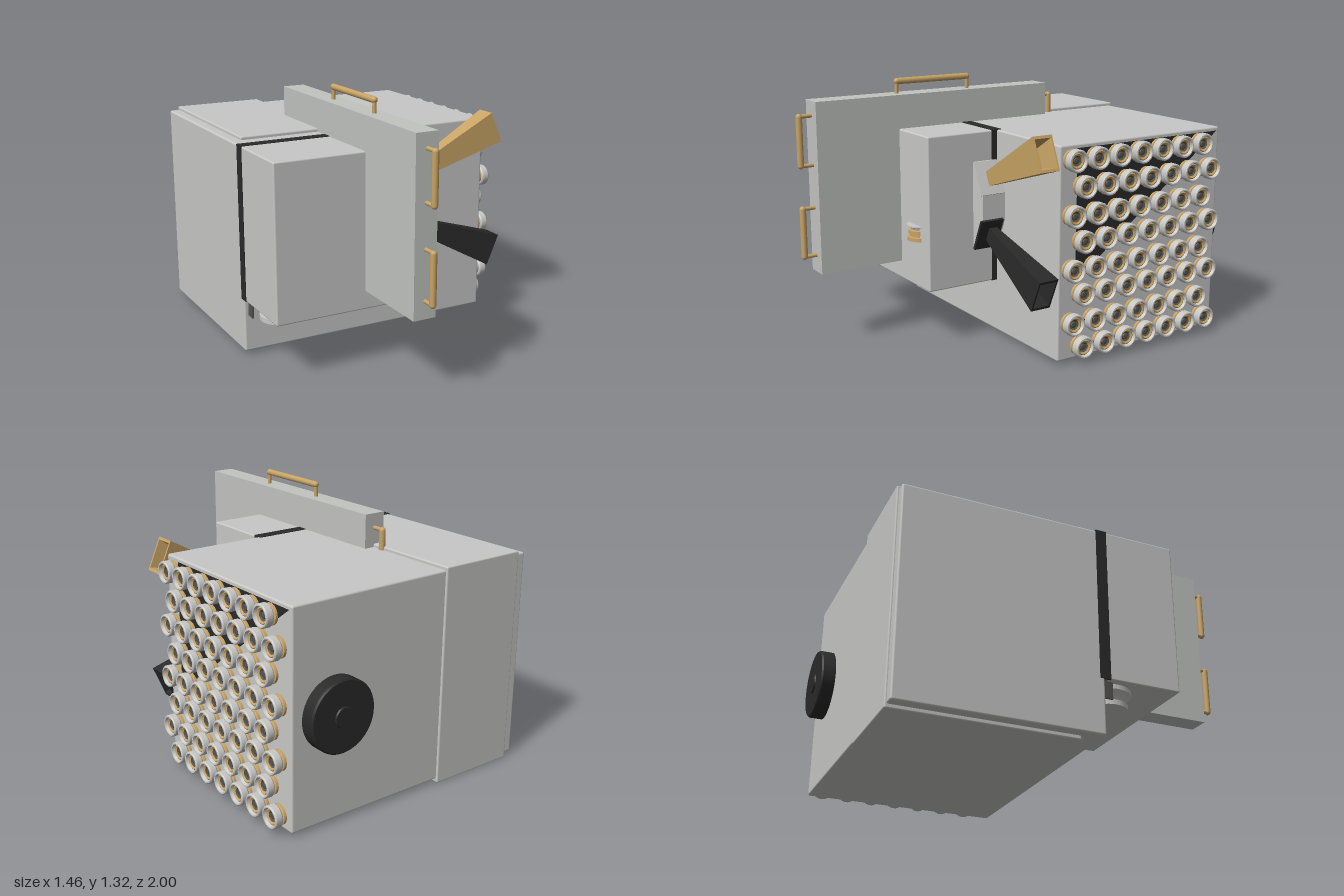
import * as THREE from 'three';
import { toCreasedNormals } from 'three/addons/utils/BufferGeometryUtils.js';
import { RoundedBoxGeometry } from 'three/addons/geometries/RoundedBoxGeometry.js';

const mat = (name, color) => {
  const m = new THREE.MeshStandardMaterial({ color });
  m.name = name;
  return m;
};

export function createModel() {
  const model = new THREE.Group();
  const grey = mat('casing grey', 0xc8c8c7);
  const plateGrey = mat('plate grey', 0xc2c4c0);
  const gold = mat('brass', 0xc8a465);
  const black = mat('black', 0x2a2a2a);
  const dark = mat('dark glass', 0x55534f);

  const add = (parent, name, geo, m, x = 0, y = 0, z = 0) => {
    const mesh = new THREE.Mesh(geo, m);
    mesh.name = name;
    mesh.position.set(x, y, z);
    parent.add(mesh);
    return mesh;
  };
  // Box from its two corners, with an optional rounded edge
  const box = (name, m, [x0, y0, z0], [x1, y1, z1], r = 0) => {
    const s = [x1 - x0, y1 - y0, z1 - z0];
    const geo = r ? new RoundedBoxGeometry(...s, 2, r) : new THREE.BoxGeometry(...s);
    return add(model, name, geo, m, (x0 + x1) / 2, (y0 + y1) / 2, (z0 + z1) / 2);
  };
  const lathe = (pts, sides, start = 0) => toCreasedNormals(
    new THREE.LatheGeometry(pts.map(p => new THREE.Vector2(...p)), sides, start), 0.6);

  // Casing
  box('mainBody', grey, [-0.73, 0.025, -0.92], [0.665, 1.08, 0.08], 0.01);
  box('wrapPanel', grey, [-0.68, 0.005, -0.93], [-0.205, 1.097, -0.02], 0.008);
  box('frontHousing', grey, [-0.73, 0.3, 0.08], [0.135, 1.08, 0.475], 0.008);
  box('blackSeam', black, [-0.733, 0.3, 0.055], [0.137, 1.083, 0.11]);
  box('uprightPlate', plateGrey, [-0.265, 0.395, -0.42], [-0.15, 1.25, 0.92]);

  // Handles: a capsule grip on two thin posts, standing along local +z
  const handle = (name, length, height, x, y, z) => {
    const g = new THREE.Group();
    g.name = name;
    g.position.set(x, y, z);
    add(g, 'grip', new THREE.CapsuleGeometry(0.016, length - 0.032, 4, 12), gold, 0, 0, height - 0.016);
    for (const s of [-1, 1]) {
      const post = add(g, 'post', new THREE.CylinderGeometry(0.01, 0.01, height, 10), gold,
        0, s * (length / 2 - 0.014), height / 2 - 0.01);
      post.rotation.x = Math.PI / 2;
    }
    model.add(g);
    return g;
  };
  handle('topHandle', 0.44, 0.078, -0.207, 1.25, 0.25).rotation.x = -Math.PI / 2;
  handle('upperFrontHandle', 0.27, 0.08, -0.207, 1.057, 0.92);
  handle('lowerFrontHandle', 0.27, 0.08, -0.207, 0.603, 0.92);
  handle('backHandle', 0.27, 0.075, -0.207, 1.057, -0.42).rotation.y = Math.PI;

  // Front knob: stepped brass base under a flared cap
  add(model, 'knobBase', lathe([[0, 0], [0.07, 0], [0.07, 0.018], [0.056, 0.02], [0.056, 0.032],
    [0.064, 0.034], [0.064, 0.052], [0.05, 0.055], [0, 0.055]], 28), gold, -0.003, 0.54, 0.442);
  add(model, 'knobCap', lathe([[0, 0], [0.05, 0], [0.055, 0.012], [0.074, 0.02], [0.074, 0.026], [0, 0.026]], 28),
    grey, -0.003, 0.593, 0.442);

  // Lower spool with side brackets
  add(model, 'spool', lathe([[0, 0], [0.1, 0], [0.1, 0.025], [0.082, 0.027], [0.09, 0.048],
    [0.118, 0.07], [0.118, 0.092], [0, 0.092]], 32), grey, -0.577, 0.208, 0.165);
  for (const s of [-1, 1]) {
    const cx = -0.577 + s * 0.127;
    box('spoolBracket', dark, [cx - 0.004, 0.215, 0.08], [cx + 0.004, 0.302, 0.13]);
  }

  // Horn mount
  const outline = new THREE.Shape([[0.13, 0.49], [0.16, 0.49], [0.225, 0.64], [0.225, 0.78],
    [0.16, 0.932], [0.13, 0.932]].map(p => new THREE.Vector2(...p)));
  add(model, 'hornMount', new THREE.ExtrudeGeometry(outline, { depth: 0.13, bevelEnabled: false }), grey, 0, 0, 0.09);

  // Square horns, hollow at the mouth, mirrored above and below the mount
  const q = Math.SQRT2;
  const hornGeo = lathe([[0, 0], [0.036 * q, 0], [0.086 * q, 0.5], [0.072 * q, 0.5],
    [0.05 * q, 0.4], [0, 0.4]], 4, Math.PI / 4);
  hornGeo.scale(1, 1, 0.63);
  hornGeo.computeVertexNormals();
  for (const [s, name, hornMat, padMat] of [[1, 'upper', gold, grey], [-1, 'lower', black, black]]) {
    const yMid = 0.714;
    const horn = add(model, name + 'Horn', hornGeo, hornMat, 0.205, yMid + s * 0.141, 0.158);
    horn.rotation.z = s * 0.405 - Math.PI / 2;
    const pad = add(model, name + 'HornPad', new THREE.BoxGeometry(0.014, 0.17, 0.13), padMat,
      0.198, yMid + s * 0.143, 0.17);
    pad.rotation.z = s * 0.41;
  }

  // Black corner panel behind the lenses
  const tri = new THREE.Shape([[0.9, 1.06], [0.02, 1.06], [0.02, 0.41]].map(p => new THREE.Vector2(...p)));
  const panel = add(model, 'blackPanel', new THREE.ExtrudeGeometry(tri, { depth: 0.003, bevelEnabled: false }),
    black, 0.664, 0, 0);
  panel.rotation.y = Math.PI / 2;

  // Lens wall: eight staggered rows of seven cups
  const baseGeo = lathe([[0, 0], [0.05, 0], [0.05, 0.012], [0.042, 0.016], [0.042, 0.025]], 18);
  const cupGeo = lathe([[0.03, 0], [0.05, 0], [0.055, 0.006], [0.055, 0.036], [0.051, 0.041],
    [0.045, 0.041], [0.039, 0.026]], 18);
  const ringGeo = lathe([[0.041, 0.026], [0.034, 0.03], [0.025, 0.024]], 18);
  const eyeGeo = lathe([[0.027, 0.024], [0.016, 0.016], [0.014, 0.022], [0, 0.026]], 18);
  const rows = [1.01, 0.88, 0.745, 0.615, 0.48, 0.355, 0.215, 0.09];
  rows.forEach((y, i) => {
    const z0 = i % 2 ? -0.045 : 0.015;
    for (let k = 0; k < 7; k++) {
      const lens = new THREE.Group();
      lens.name = 'lens';
      lens.position.set(0.665, y, z0 - k * 0.1315);
      lens.rotation.z = -Math.PI / 2;
      add(lens, 'lensBase', baseGeo, gold);
      add(lens, 'lensCup', cupGeo, grey, 0, 0.021, 0);
      add(lens, 'lensRing', ringGeo, gold, 0, 0.021, 0);
      add(lens, 'lensEye', eyeGeo, dark, 0, 0.021, 0);
      model.add(lens);
    }
    box('lensRod', black, [0.672, y - 0.004, z0 - 0.79], [0.68, y + 0.004, z0]);
  });

  // Rear wheel with a small hub
  const wheel = add(model, 'rearWheel', lathe([[0, 0], [0.175, 0], [0.175, 0.062], [0.168, 0.07],
    [0.05, 0.07], [0.046, 0.077], [0, 0.077]], 48), black, 0.437, 0.552, -0.92);
  wheel.rotation.x = -Math.PI / 2;

  return model;
}
